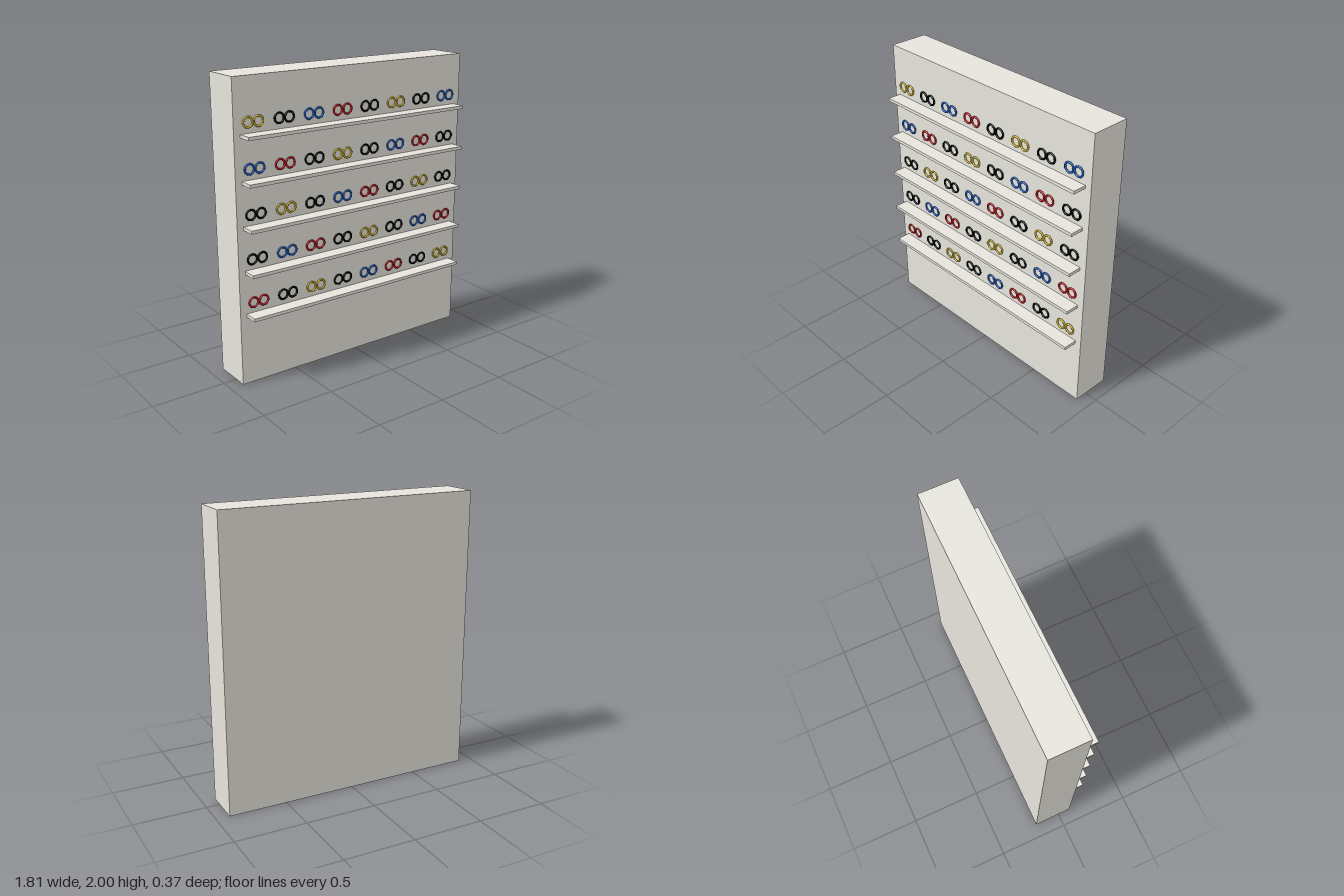
import * as THREE from 'three';

const mat = (name, color) => {
  const m = new THREE.MeshStandardMaterial({ color });
  m.name = name;
  return m;
};

export function createModel() {
  const group = new THREE.Group();
  const stone = mat('warm grey', 0xe6e4dc);
  const yellow = mat('yellow', 0xd4b82c);
  const black = mat('black', 0x020202);
  const blue = mat('blue', 0x1c5cc4);
  const red = mat('red', 0xc81820);
  const cycle = [yellow, black, blue, red, black];

  const add = (parent, name, geometry, material, x, y, z) => {
    const mesh = new THREE.Mesh(geometry, material);
    mesh.name = name;
    mesh.position.set(x, y, z);
    parent.add(mesh);
  };

  // Upright display wall
  add(group, 'wall', new THREE.BoxGeometry(1.814, 2, 0.274), stone, 0, 1, -0.049);

  // Five shelves, each with eight pairs of rims above it
  const shelfGeo = new THREE.BoxGeometry(1.724, 0.022, 0.1);
  const rimGeo = new THREE.TorusGeometry(0.0325, 0.0065, 8, 28);
  for (let row = 0; row < 5; row++) {
    const y = 1.639 - row * 0.291;
    add(group, 'shelf', shelfGeo, stone, 0, y, 0.136);
    for (let col = 0; col < 8; col++) {
      const glasses = new THREE.Group();
      glasses.name = 'glasses';
      glasses.position.set((col - 3.5) * 0.221, y + 0.081, 0.094);
      const colour = cycle[(col + 2 * row) % 5];
      for (const side of [-1, 1]) add(glasses, 'rim', rimGeo, colour, side * 0.037, 0, 0);
      group.add(glasses);
    }
  }
  return group;
}
